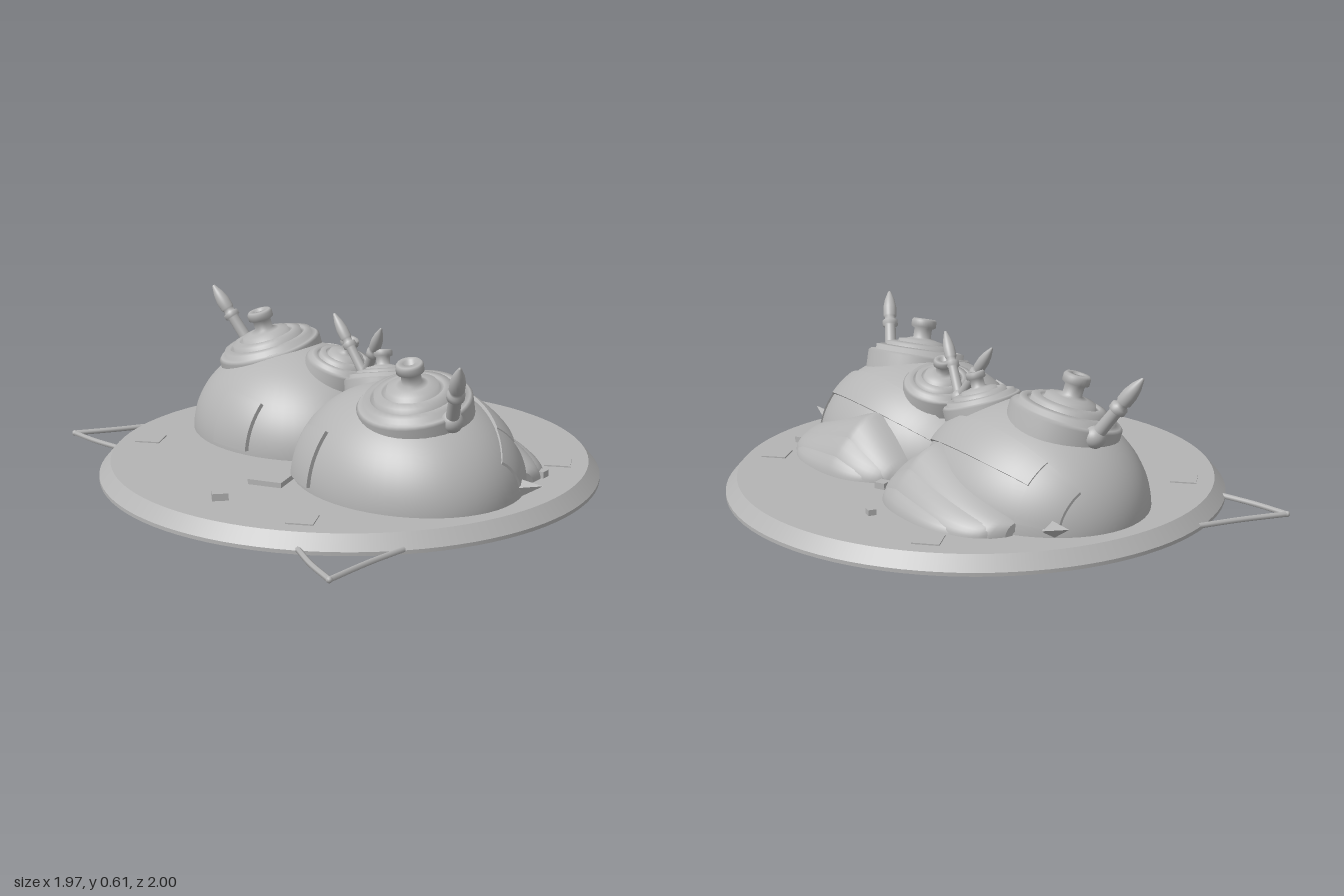
import * as THREE from 'three';

const grey = new THREE.MeshStandardMaterial({ color: 0xb4b4b4 });
grey.name = 'plain grey';

// Dome ellipsoid: centre height, centre z and radii
const D = { y: 0.06, z: 0.39, rx: 0.41, ry: 0.37, rz: 0.49 };
const lerp = THREE.MathUtils.lerp;
const V = (x, y, z) => new THREE.Vector3(x, y, z);

function add(group, name, geometry, x = 0, y = 0, z = 0) {
  const mesh = new THREE.Mesh(geometry, grey);
  mesh.name = name;
  mesh.position.set(x, y, z);
  group.add(mesh);
  return mesh;
}

// Bend a unit box by a rule taking three 0..1 coordinates
function bentBox(na, nb, nc, rule) {
  const g = new THREE.BoxGeometry(1, 1, 1, na, nb, nc);
  const p = g.attributes.position;
  for (let i = 0; i < p.count; i++) {
    p.setXYZ(i, ...rule(p.getX(i) + 0.5, p.getY(i) + 0.5, p.getZ(i) + 0.5));
  }
  g.computeVertexNormals();
  return g;
}

// Raised plate that follows the dome, between two angles and two z positions
function domePlate(deg0, deg1, z0, z1, rise) {
  return bentBox(12, 1, 24, (a, b, c) => {
    const u = THREE.MathUtils.degToRad(lerp(deg1, deg0, a));
    const z = lerp(z0, z1, c);
    const k = Math.sqrt(Math.max(0, 1 - ((z - D.z) / D.rz) ** 2));
    const o = lerp(-0.02, rise, b);
    return [(D.rx * k + o) * Math.cos(u), D.y + (D.ry * k + o) * Math.sin(u), z];
  });
}

// Peaked armour layer wrapped around the side of the dome
function armour(reach, peak, z0, z1) {
  const xi = 0.3, mid = (z0 + z1) / 2, half = (z1 - z0) / 2, zPeak = 0.23;
  return bentBox(10, 1, 40, (a, b, c) => {
    const z = lerp(z0, z1, c);
    const d = Math.abs(z - mid) / half;
    const out = 0.05 + (reach - xi - 0.05) * Math.sqrt(Math.max(0, 1 - d ** 2.5));
    const t = z < zPeak ? (z - z0) / (zPeak - z0) : (z1 - z) / (z1 - zPeak);
    const h = lerp(0.05, peak - 0.06, Math.pow(t, 0.8));
    const u = (1 - a) * Math.PI / 2, s = lerp(0.4, 1, b);
    return [xi + out * s * Math.cos(u), 0.06 + h * s * Math.sin(u), z];
  });
}

// Lathe from [radius, height] pairs; doubled points keep the steps sharp
function turned(points, scale = 1) {
  const parts = points.map(([r, h]) => new THREE.Vector2(r * scale, h * scale));
  return new THREE.LatheGeometry(parts, 40);
}

function aim(mesh, direction) {
  mesh.quaternion.setFromUnitVectors(V(0, 1, 0), direction.clone().normalize());
}

function turret(group, name, base, axis, scale) {
  const profile = [
    [0.215, -0.07], [0.215, 0.075], [0.205, 0.085], [0.185, 0.085], [0.185, 0.105],
    [0.16, 0.11], [0.16, 0.098], [0.145, 0.098], [0.145, 0.122], [0.115, 0.13],
    [0.115, 0.12], [0.1, 0.12], [0.095, 0.14], [0.06, 0.147], [0.037, 0.155],
    [0.037, 0.192], [0.052, 0.2], [0.052, 0.225], [0.045, 0.234], [0.022, 0.234],
    [0.022, 0.215], [0, 0.215],
  ];
  aim(add(group, name, turned(profile, scale), base.x, base.y, base.z), axis);
}

// Ball joint with a collared, pointed barrel
function gun(group, name, from, to, ball) {
  const dir = to.clone().sub(from), L = dir.length(), w = ball / 0.04;
  add(group, name + 'Ball', new THREE.SphereGeometry(ball, 24, 16), from.x, from.y, from.z);
  const profile = [
    [0.024, 0], [0.022, 0.45], [0.031, 0.46], [0.031, 0.53], [0.022, 0.54],
    [0.022, 0.59], [0.027, 0.61], [0.027, 0.74], [0.02, 0.86], [0.006, 0.99], [0, 1],
  ].map(([r, t]) => [r * w, t * L]);
  aim(add(group, name + 'Barrel', turned(profile), from.x, from.y, from.z), dir);
}

// Everything on one half of the base
function buildHalf() {
  const half = new THREE.Group();
  half.name = 'leftHalf';
  const dome = new THREE.SphereGeometry(1, 56, 24, 0, Math.PI * 2, 0, Math.PI / 2);
  dome.scale(D.rx, D.ry, D.rz);
  add(half, 'dome', dome, 0, D.y, D.z);

  // Plates on the dome
  add(half, 'shoulderPlate', domePlate(38, 58, 0.0, 0.71, 0.013));
  add(half, 'shoulderEndPlate', domePlate(10, 58, 0.71, 0.82, 0.009));
  add(half, 'backPanel', domePlate(143, 176, 0.17, 0.35, 0.015));

  // Layered armour
  add(half, 'innerArmour', armour(0.495, 0.285, 0, 0.71));
  add(half, 'middleArmour', armour(0.53, 0.25, 0.01, 0.7));
  add(half, 'outerArmour', armour(0.55, 0.2, 0.03, 0.66));

  // Turrets and guns
  turret(half, 'largeTurret', V(-0.04, 0.325, 0.505), V(-0.25, 1, 0.11), 1);
  turret(half, 'smallTurret', V(0.06, 0.33, 0.155), V(0.12, 1, -0.27), 0.72);
  gun(half, 'largeGun', V(-0.037, 0.365, 0.71), V(-0.125, 0.605, 0.865), 0.042);
  gun(half, 'smallGun', V(0.075, 0.36, 0.0), V(0.035, 0.59, 0.165), 0.034);

  // End spike
  const spike = new THREE.ConeGeometry(0.036, 0.13, 4).toNonIndexed();
  spike.computeVertexNormals();
  aim(add(half, 'spike', spike, 0.217, 0.112, 0.85), V(0.01, 0.03, 0.1));

  // Curved, pointed loop at the rim
  const sides = [
    [V(-0.38, 0.015, 0.9), V(-0.55, 0.015, 0.935), V(-0.738, 0.015, 0.988)],
    [V(-0.738, 0.015, 0.988), V(-0.715, 0.015, 0.84), V(-0.675, 0.015, 0.69)],
  ];
  for (const pts of sides) {
    add(half, 'rimLoop', new THREE.TubeGeometry(new THREE.CatmullRomCurve3(pts), 16, 0.011, 6));
  }
  add(half, 'rimLoopTip', new THREE.SphereGeometry(0.012, 8, 6), -0.738, 0.015, 0.988);

  // Diamond plates on the deck
  for (const x of [-0.585, 0.585]) {
    add(half, 'deckPlate', new THREE.BoxGeometry(0.1, 0.008, 0.1), x, 0.066, 0.58)
      .rotation.y = Math.PI / 4;
  }
  return half;
}

// Copy the half across z with corner order reversed
function mirrorHalf(half) {
  const other = new THREE.Group();
  other.name = 'rightHalf';
  for (const mesh of half.children) {
    mesh.updateMatrix();
    const g = mesh.geometry.clone().applyMatrix4(mesh.matrix);
    for (const key of ['position', 'normal']) {
      const at = g.attributes[key];
      for (let i = 0; i < at.count; i++) at.setZ(i, -at.getZ(i));
    }
    const n = g.attributes.position.count;
    const idx = g.index ? Array.from(g.index.array) : Array.from({ length: n }, (_, i) => i);
    for (let i = 0; i < idx.length; i += 3) [idx[i], idx[i + 1]] = [idx[i + 1], idx[i]];
    g.setIndex(idx);
    add(other, mesh.name, g);
  }
  return other;
}

export function createModel() {
  const model = new THREE.Group();
  model.name = 'twinDomeBase';

  // Round base with a bevelled rim
  add(model, 'baseFoot', new THREE.CylinderGeometry(0.985, 0.985, 0.014, 96), 0, 0.007, 0);
  add(model, 'baseDeck', new THREE.CylinderGeometry(0.94, 0.985, 0.051, 96), 0, 0.0395, 0);

  const half = buildHalf();
  model.add(half, mirrorHalf(half));

  // Loose blocks on the deck: x, z, width, depth, top, turn in degrees
  const blocks = [
    [-0.42, 0.13, 0.21, 0.135, 0.085, 35],
    [-0.713, 0.225, 0.06, 0.045, 0.092, -25],
    [0.622, -0.245, 0.032, 0.032, 0.087, -10],
    [0.437, -0.015, 0.045, 0.045, 0.09, 25],
    [0.425, 0.675, 0.04, 0.03, 0.09, 20],
  ];
  for (const [x, z, w, d, top, turn] of blocks) {
    const h = top - 0.05;
    add(model, 'deckBlock', new THREE.BoxGeometry(w, h, d), x, 0.05 + h / 2, z)
      .rotation.y = THREE.MathUtils.degToRad(turn);
  }
  return model;
}
